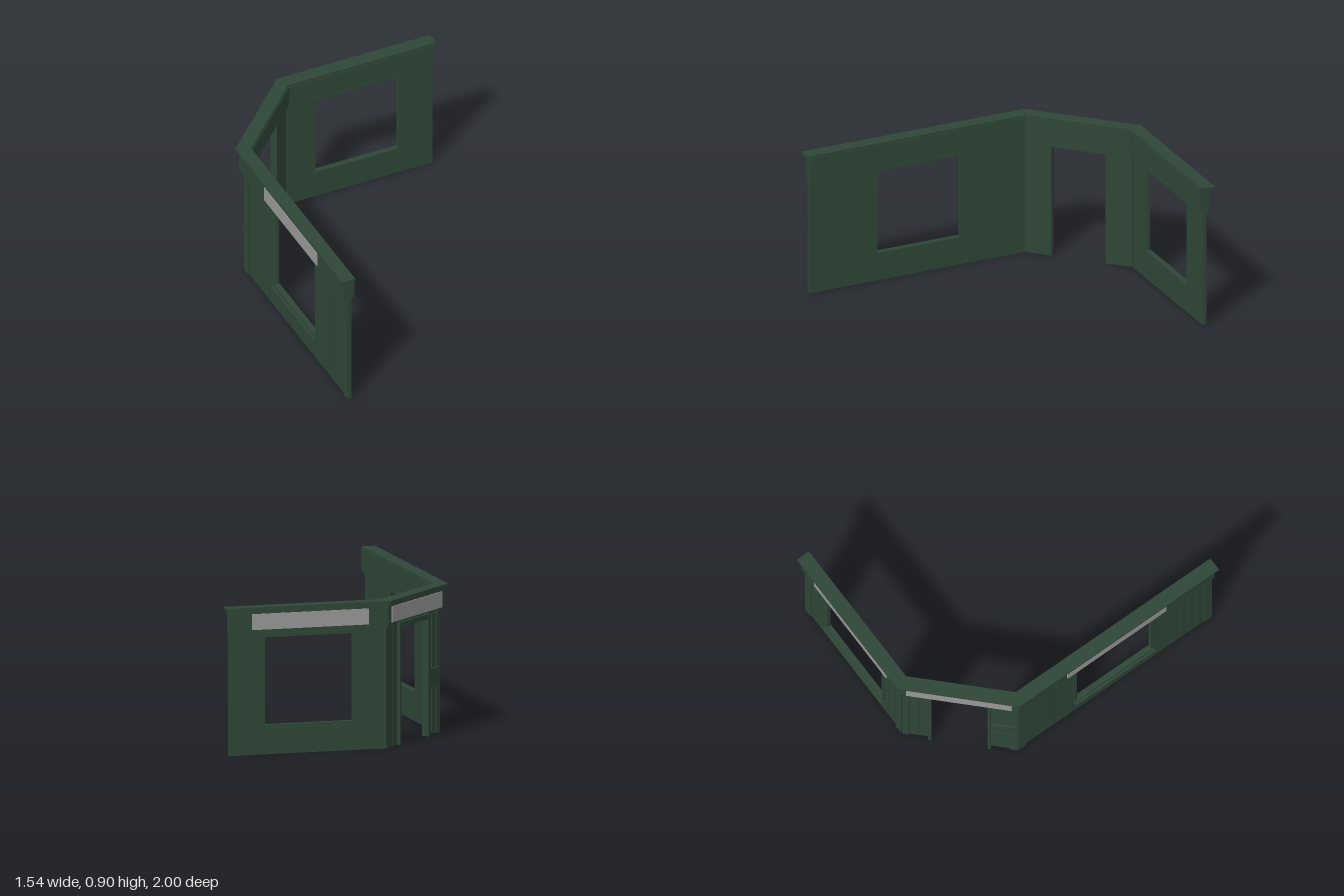
import * as THREE from 'three';

const green = new THREE.MeshStandardMaterial({ color: 0x2e4637 });
green.name = 'dark green paint';
const grey = new THREE.MeshStandardMaterial({ color: 0x999999 });
grey.name = 'grey sign panel';

function add(parent, name, geometry, material = green) {
  const mesh = new THREE.Mesh(geometry, material);
  mesh.name = name;
  parent.add(mesh);
  return mesh;
}

// box given by its limits: u along the wall, y up, d outward
function block(parent, name, u0, u1, y0, y1, d0, d1, material) {
  const geo = new THREE.BoxGeometry(u1 - u0, y1 - y0, d1 - d0);
  geo.translate((u0 + u1) / 2, (y0 + y1) / 2, (d0 + d1) / 2);
  return add(parent, name, geo, material);
}

// mitred band running over all three walls, between outward offsets d0 and d1
function band(parent, name, d0, d1, y0, y1, overhang) {
  const line = (d) => [
    [-0.68 - d, 0.98 + overhang],
    [-0.68 - d, -0.44 - 0.414 * d],
    [-0.21 - 0.414 * d, -0.91 - d],
    [0.75 + overhang, -0.91 - d],
  ];
  const outline = [...line(d0), ...line(d1).reverse()];
  const shape = new THREE.Shape(outline.map(([x, z]) => new THREE.Vector2(x, -z)));
  const geo = new THREE.ExtrudeGeometry(shape, { depth: y1 - y0, bevelEnabled: false });
  geo.rotateX(-Math.PI / 2);
  geo.translate(0, y0, 0);
  add(parent, name, geo);
}

function frame(parent, name, x, z, angle) {
  const g = new THREE.Group();
  g.name = name;
  g.position.set(x, 0, z);
  g.rotation.y = angle;
  parent.add(g);
  return g;
}

// evenly spaced upright boards on the outside
function boards(parent, u0, u1, y0, y1, count) {
  const step = (u1 - u0) / count;
  for (let i = 0; i < count; i++) {
    block(parent, 'board', u0 + i * step + 0.004, u0 + (i + 1) * step - 0.004, y0, y1, 0.036, 0.041);
  }
}

function pilaster(parent, u0, u1) {
  block(parent, 'pilaster', u0, u1, 0, 0.72, 0.03, 0.045);
  block(parent, 'pilasterCapital', u0 - 0.004, u1 + 0.004, 0.72, 0.75, 0.03, 0.055);
}

// wall from u0 to u1 with a window from w0 to w1
function windowWall(g, u0, u1, w0, w1) {
  const bottom = 0.18, top = 0.71;
  const shape = new THREE.Shape();
  shape.moveTo(u0, 0).lineTo(u1, 0).lineTo(u1, 0.75).lineTo(u0, 0.75).closePath();
  const hole = new THREE.Path();
  hole.moveTo(w0, bottom).lineTo(w0, top).lineTo(w1, top).lineTo(w1, bottom).closePath();
  shape.holes.push(hole);
  const geo = new THREE.ExtrudeGeometry(shape, { depth: 0.017, bevelEnabled: false });
  geo.translate(0, 0, 0.02);
  add(g, 'wallPanel', geo);

  // window trim
  block(g, 'windowSill', w0 - 0.012, w1 + 0.012, 0.16, bottom, 0.016, 0.052);
  block(g, 'outerSillLedge', w0 - 0.02, w1 + 0.02, 0.15, 0.162, 0.03, 0.065);
  block(g, 'windowHeader', w0 - 0.005, w1 + 0.005, top, 0.732, 0.016, 0.048);
  block(g, 'windowJamb', w0 - 0.022, w0, bottom, top, 0.024, 0.045);
  block(g, 'windowJamb', w1, w1 + 0.022, bottom, top, 0.024, 0.045);

  // outside panelling
  pilaster(g, u0, u0 + 0.055);
  pilaster(g, u1 - 0.055, u1);
  boards(g, u0 + 0.06, w0 - 0.025, 0.02, 0.73, Math.round((w0 - u0 - 0.085) / 0.06));
  boards(g, w1 + 0.025, u1 - 0.06, 0.02, 0.73, Math.round((u1 - w1 - 0.085) / 0.06));
  boards(g, w0, w1, 0.02, 0.14, 7);

  const mid = (w0 + w1) / 2;
  block(g, 'signPanel', mid - 0.365, mid + 0.365, 0.762, 0.858, 0.07, 0.077, grey);
}

export function createModel() {
  const model = new THREE.Group();
  model.name = 'cornerShopfront';

  windowWall(frame(model, 'leftWall', -0.68, 0, -Math.PI / 2), -0.452, 0.98, -0.02, 0.53);
  windowWall(frame(model, 'backWall', 0, -0.91, Math.PI), -0.75, 0.222, -0.525, 0.025);

  // diagonal entrance wall
  const door = frame(model, 'entranceWall', -0.445, -0.675, -0.75 * Math.PI);
  const half = 0.17, end = 0.34;
  for (const s of [-1, 1]) {
    const span = (a, b) => (s > 0 ? [a, b] : [-b, -a]);
    block(door, 'wallPanel', ...span(half, end), 0, 0.75, 0.02, 0.037);
    block(door, 'doorJamb', ...span(half, half + 0.02), 0, 0.74, 0.018, 0.06);
    pilaster(door, ...span(end - 0.035, end + 0.006));
    boards(door, ...span(half + 0.022, end - 0.038), 0.02, 0.73, 2);
  }
  block(door, 'doorHeader', -half - 0.01, half + 0.01, 0.71, 0.74, 0.018, 0.058);

  // letter box beside the door
  block(door, 'letterBox', half + 0.01, end - 0.005, 0.28, 0.405, 0.014, 0.048);
  for (const y of [0.28, 0.397]) {
    block(door, 'letterBoxLedge', half + 0.01, end - 0.005, y, y + 0.008, 0.04, 0.055);
  }
  block(door, 'signPanel', -0.32, 0.32, 0.762, 0.858, 0.07, 0.077, grey);

  // frieze and stepped cornice
  band(model, 'frieze', 0, 0.07, 0.75, 0.87, 0);
  band(model, 'lowerCornice', -0.002, 0.081, 0.87, 0.886, 0.008);
  band(model, 'upperCornice', 0.003, 0.09, 0.886, 0.9, 0.02);

  return model;
}
